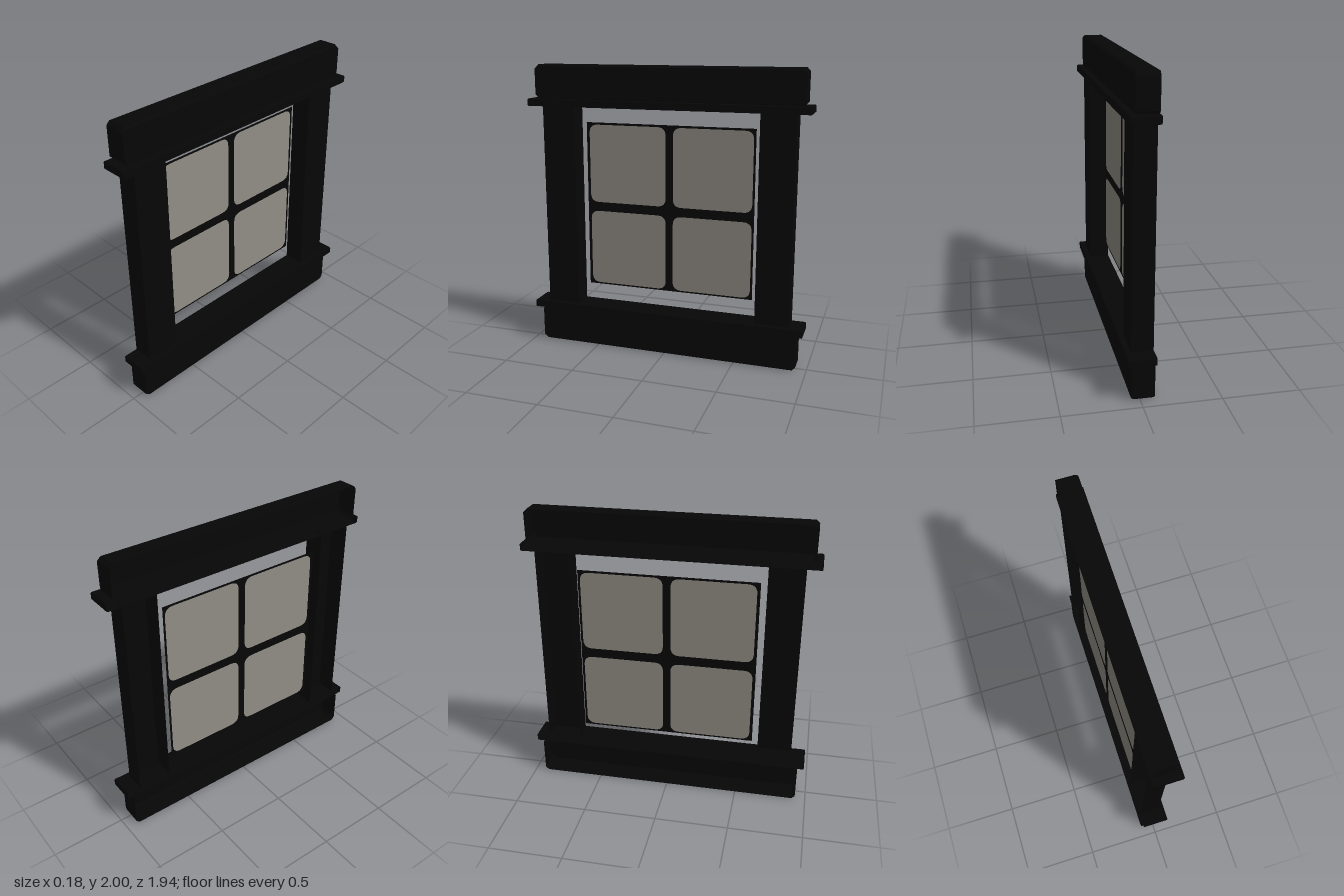
import * as THREE from 'three';
import { ConvexGeometry } from 'three/addons/geometries/ConvexGeometry.js';

const frameMat = new THREE.MeshStandardMaterial({ color: 0x060606, side: THREE.DoubleSide });
frameMat.name = 'blackFrame';
const glassMat = new THREE.MeshStandardMaterial({ color: 0x928e86, side: THREE.DoubleSide });
glassMat.name = 'greyGlass';

const BACK = -0.09;

// Beam shell with an open back, cut corners and a bevelled +x front
function bevelledShell(front, y0, y1, z0, z1, cut) {
  const points = [];
  const ring = (x, inset) => {
    for (const [y, sy] of [[y0 + inset, 1], [y1 - inset, -1]]) {
      for (const [z, sz] of [[z0, 1], [z1, -1]]) {
        points.push(new THREE.Vector3(x, y + sy * cut, z), new THREE.Vector3(x, y, z + sz * cut));
      }
    }
  };
  ring(BACK, 0);
  ring(front - cut * 0.7, 0);
  ring(front, cut * 0.5);
  const geometry = new ConvexGeometry(points);

  // Leave out the faces lying in the back plane
  const position = geometry.getAttribute('position');
  const kept = [];
  for (let i = 0; i < position.count; i += 3) {
    const corners = [i, i + 1, i + 2];
    if (corners.every((c) => position.getX(c) < BACK + 1e-4)) continue;
    for (const c of corners) kept.push(position.getX(c), position.getY(c), position.getZ(c));
  }
  const shell = new THREE.BufferGeometry();
  shell.setAttribute('position', new THREE.Float32BufferAttribute(kept, 3));
  shell.computeVertexNormals();
  return shell;
}

// Rounded rectangle outline for a pane
function roundedRect(target, x0, y0, x1, y1, r) {
  target.moveTo(x0 + r, y0);
  target.lineTo(x1 - r, y0);
  target.quadraticCurveTo(x1, y0, x1, y0 + r);
  target.lineTo(x1, y1 - r);
  target.quadraticCurveTo(x1, y1, x1 - r, y1);
  target.lineTo(x0 + r, y1);
  target.quadraticCurveTo(x0, y1, x0, y1 - r);
  target.lineTo(x0, y0 + r);
  target.quadraticCurveTo(x0, y0, x0 + r, y0);
  return target;
}

export function createModel() {
  const group = new THREE.Group();
  group.name = 'window';
  const add = (name, geometry, material = frameMat) => {
    const mesh = new THREE.Mesh(geometry, material);
    mesh.name = name;
    group.add(mesh);
    return mesh;
  };

  // Heavy beams above and below
  add('topBeam', bevelledShell(0.05, 1.765, 2, -0.928, 0.928, 0.022));
  add('bottomBeam', bevelledShell(0.055, 0, 0.265, -0.928, 0.928, 0.022));

  // Thin projecting ledges
  add('topLedge', bevelledShell(0.088, 1.72, 1.77, -0.972, 0.972, 0.005));
  add('bottomLedge', bevelledShell(0.088, 0.256, 0.307, -0.972, 0.972, 0.005));

  // Side posts
  for (const [name, z0, z1] of [['leftPost', 0.643, 0.875], ['rightPost', -0.875, -0.643]]) {
    add(name, bevelledShell(0.05, 0.3, 1.727, z0, z1, 0.004));
  }

  // Flat sash with four rounded panes
  const sash = new THREE.Shape();
  sash.moveTo(-0.6, 0.43);
  sash.lineTo(0.6, 0.43);
  sash.lineTo(0.6, 1.605);
  sash.lineTo(-0.6, 1.605);
  sash.closePath();
  const place = (mesh) => {
    mesh.rotation.y = Math.PI / 2;
    mesh.position.x = -0.065;
  };
  for (const [x0, x1] of [[-0.58, -0.022], [0.03, 0.585]]) {
    for (const [y0, y1] of [[0.44, 0.975], [1.04, 1.59]]) {
      sash.holes.push(roundedRect(new THREE.Path(), x0, y0, x1, y1, 0.06));
      const pane = roundedRect(new THREE.Shape(), x0, y0, x1, y1, 0.06);
      place(add('pane', new THREE.ShapeGeometry(pane, 6), glassMat));
    }
  }
  place(add('sash', new THREE.ShapeGeometry(sash, 6)));

  return group;
}
